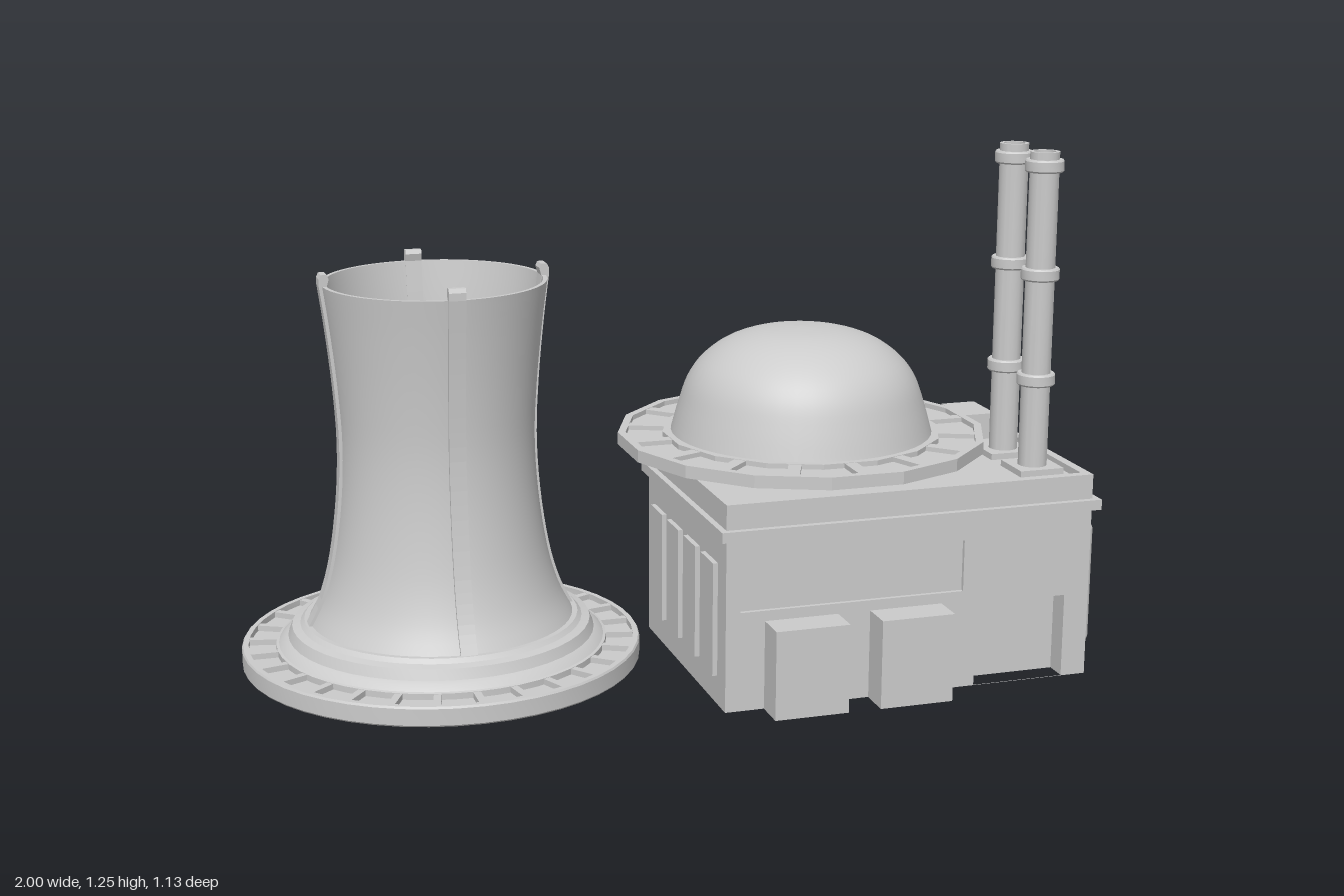
import * as THREE from 'three';
import { toCreasedNormals } from 'three/addons/utils/BufferGeometryUtils.js';
import { RoundedBoxGeometry } from 'three/addons/geometries/RoundedBoxGeometry.js';

const grey = new THREE.MeshStandardMaterial({ color: 0xcccccc });
const shell = new THREE.MeshStandardMaterial({ color: 0xcccccc, side: THREE.DoubleSide });

const add = (parent, name, geo, mat = grey) => {
  const m = new THREE.Mesh(geo, mat);
  m.name = name;
  parent.add(m);
  return m;
};

// Box given by its limits on each axis
const box = (parent, name, x0, x1, y0, y1, z0, z1) => {
  const m = add(parent, name, new THREE.BoxGeometry(x1 - x0, y1 - y0, z1 - z0));
  m.position.set((x0 + x1) / 2, (y0 + y1) / 2, (z0 + z1) / 2);
  return m;
};

// Thin-walled box without the listed sides (3 = bottom, 4 = front)
const openBox = (parent, name, limits, missing) => {
  const m = box(parent, name, ...limits);
  const index = Array.from(m.geometry.index.array);
  m.geometry.setIndex(index.filter((_, i) => !missing.includes(Math.floor(i / 6))));
  m.geometry.clearGroups();
  m.material = shell;
};

const v2 = (list) => list.map(([r, y]) => new THREE.Vector2(r, y));

const lathe = (parent, name, pts, sides, crease = 0.5, start = 0) =>
  add(parent, name, toCreasedNormals(new THREE.LatheGeometry(v2(pts), sides, start), crease), shell);

// Short radial bars spread around a ring
const radialBars = (parent, name, count, r0, r1, y0, y1, width) => {
  for (let i = 0; i < count; i++) {
    const pivot = new THREE.Group();
    pivot.rotation.y = (i / count) * Math.PI * 2;
    box(pivot, name, -width / 2, width / 2, y0, y1, r0, r1);
    parent.add(pivot);
  }
};

// Rectangle in the xy plane, with rectangular openings
const rect = (x0, x1, y0, y1) => new THREE.Shape(v2([[x0, y0], [x1, y0], [x1, y1], [x0, y1]]));
const frame = (outer, holes) => {
  const s = rect(...outer);
  s.holes = holes.map((h) => rect(...h));
  return s;
};

function coolingTower() {
  const g = new THREE.Group();
  g.name = 'coolingTower';
  g.position.set(-0.51, 0, -0.078);

  // Flared shaft, open at the top, with a bowl-shaped floor inside
  const curve = new THREE.SplineCurve(v2([[0.325, 0.11], [0.29, 0.18], [0.262, 0.28],
    [0.242, 0.42], [0.235, 0.56], [0.242, 0.7], [0.256, 0.84], [0.27, 0.947]]));
  const outer = curve.getPoints(28).map((p) => [p.x, p.y]);
  const inner = outer.slice(16).reverse().map(([r, y]) => [r - 0.01, y]);
  const bowl = [];
  for (let i = 0; i <= 10; i++) {
    const a = (i / 10) * Math.PI / 2;
    bowl.push([0.225 * Math.cos(a), 0.22 - 0.12 * Math.sin(a)]);
  }
  lathe(g, 'towerShaft', [...outer, ...inner, ...bowl], 64);

  // Stepped foot and the recessed base ring
  lathe(g, 'towerFoot', [[0.4, 0.055], [0.385, 0.07], [0.375, 0.075], [0.365, 0.1],
    [0.345, 0.105], [0.335, 0.115], [0.26, 0.115]], 48);
  lathe(g, 'baseRing', [[0.385, 0.006], [0.4, 0.006], [0.4, 0.03], [0.472, 0.03], [0.472, 0.006],
    [0.485, 0.006], [0.488, 0.01], [0.488, 0.05], [0.485, 0.055], [0.472, 0.055], [0.472, 0.04],
    [0.405, 0.04], [0.405, 0.055], [0.385, 0.06], [0.385, 0.006]], 48);
  radialBars(g, 'baseRib', 28, 0.395, 0.478, 0.008, 0.054, 0.018);

  // Four vertical ribs following the flare and standing above the rim
  const path = [...outer.map(([r, y]) => [r + 0.007, y]), [0.277, 0.965], [0.272, 0.975],
    [0.258, 0.975], [0.253, 0.965], ...outer.slice().reverse().map(([r, y]) => [r - 0.012, y])];
  const ribGeo = new THREE.ExtrudeGeometry(new THREE.Shape(v2(path)), { depth: 0.04, bevelEnabled: false });
  ribGeo.translate(0, 0, -0.02);
  for (let i = 0; i < 4; i++) add(g, 'towerRib', ribGeo).rotation.y = i * Math.PI / 2;
  return g;
}

function reactorDome() {
  const g = new THREE.Group();
  g.name = 'reactorDome';
  g.position.set(0.355, 0, 0.11);

  lathe(g, 'drum', [[0.24, 0.47], [0.24, 0.54]], 32).position.x = 0.02;
  const profile = new THREE.SplineCurve(v2([[0.318, 0.565], [0.3, 0.63], [0.277, 0.695], [0.24, 0.745],
    [0.18, 0.787], [0.1, 0.812], [0, 0.82]])).getPoints(24).map((p) => [Math.max(p.x, 0), p.y]);
  lathe(g, 'dome', profile, 48, 0.6);

  // Sixteen-sided gallery with recessed panels above and below
  lathe(g, 'gallery', [[0.22, 0.535], [0.335, 0.535], [0.335, 0.545], [0.43, 0.545], [0.43, 0.535],
    [0.449, 0.535], [0.449, 0.565], [0.43, 0.565], [0.43, 0.553], [0.34, 0.553], [0.34, 0.565],
    [0.3, 0.565]], 16, 0.1, Math.PI / 16);
  radialBars(g, 'galleryRib', 16, 0.325, 0.43, 0.536, 0.564, 0.03);
  return g;
}

function chimney(z) {
  const g = new THREE.Group();
  g.name = 'chimney';
  g.position.set(0.864, 0, z);
  lathe(g, 'stack', [[0.035, 0.48], [0.035, 1.255], [0.026, 1.255], [0.026, 1.1], [0, 1.1]], 20);
  for (const y of [0.71, 0.965, 1.222]) {
    lathe(g, 'stackBand', [[0.034, y - 0.015], [0.043, y - 0.015], [0.046, y - 0.011],
      [0.046, y + 0.011], [0.043, y + 0.015], [0.034, y + 0.015]], 20);
  }
  box(g, 'stackFoot', -0.056, 0.056, 0.47, 0.497, -0.056, 0.056);
  return g;
}

function building() {
  const g = new THREE.Group();
  g.name = 'building';

  // Hollow main hall; its front wall has a doorway alcove and a shallow sunken panel
  const door = [0.665, 0.895, 0.001, 0.205];
  const panel = [0.075, 0.63, 0.24, 0.365];
  openBox(g, 'hall', [0.04, 0.957, 0, 0.42, -0.13, 0.485], [3, 4]);
  add(g, 'frontWall', new THREE.ShapeGeometry(frame([0.04, 0.957, 0, 0.42], [door, panel])), shell)
    .position.z = 0.485;
  openBox(g, 'doorAlcove', [...door, 0.43, 0.485], [3, 4]);
  openBox(g, 'sunkenPanel', [...panel, 0.475, 0.485], [4]);

  // Cornice, roof and parapet
  box(g, 'cornice', 0.025, 0.975, 0.415, 0.44, -0.147, 0.5);
  box(g, 'roof', 0.05, 0.947, 0.44, 0.482, -0.12, 0.475);
  const parapet = new THREE.ExtrudeGeometry(
    frame([0.04, 0.957, -0.485, 0.13], [[0.062, 0.935, -0.463, 0.108]]), { depth: 0.06, bevelEnabled: false });
  parapet.rotateX(-Math.PI / 2);
  add(g, 'parapet', parapet).position.y = 0.44;
  box(g, 'roofUnit', 0.815, 0.905, 0.47, 0.548, -0.083, 0.047);

  // Front and rear annexes, open underneath
  for (const x of [0.135, 0.395]) openBox(g, 'frontAnnex', [x, x + 0.18, 0, 0.215, 0.486, 0.565], [3]);
  openBox(g, 'rearAnnex', [0.09, 0.71, 0, 0.439, -0.27, -0.131], [3]);
  openBox(g, 'pipeHouse', [0.12, 0.325, 0, 0.355, -0.37, -0.271], [3]);

  // Bevelled panel on the left wall, slats on the right wall
  const sidePanel = add(g, 'sidePanel', new RoundedBoxGeometry(0.08, 0.305, 0.515, 3, 0.018));
  sidePanel.position.set(0.957, 0.208, 0.175);
  for (let i = 0; i < 4; i++) {
    const z = -0.075 + i * 0.135;
    box(g, 'wallSlat', 0.028, 0.045, 0.07, 0.345, z, z + 0.095);
  }

  // Two bent pipes rising from the rear annexes
  const bend = new THREE.CurvePath();
  const p = (y, z) => new THREE.Vector3(0, y, z);
  bend.add(new THREE.LineCurve3(p(0.34, -0.315), p(0.462, -0.315)));
  bend.add(new THREE.CubicBezierCurve3(p(0.462, -0.315), p(0.512, -0.315), p(0.512, -0.23), p(0.462, -0.23)));
  bend.add(new THREE.LineCurve3(p(0.462, -0.23), p(0.43, -0.23)));
  const pipeGeo = new THREE.TubeGeometry(bend, 40, 0.02, 12);
  for (const x of [0.17, 0.262]) add(g, 'pipe', pipeGeo).position.x = x;
  return g;
}

export function createModel() {
  const model = new THREE.Group();
  model.name = 'powerPlant';
  model.add(coolingTower(), building(), reactorDome(), chimney(0.348), chimney(0.184));
  return model;
}
